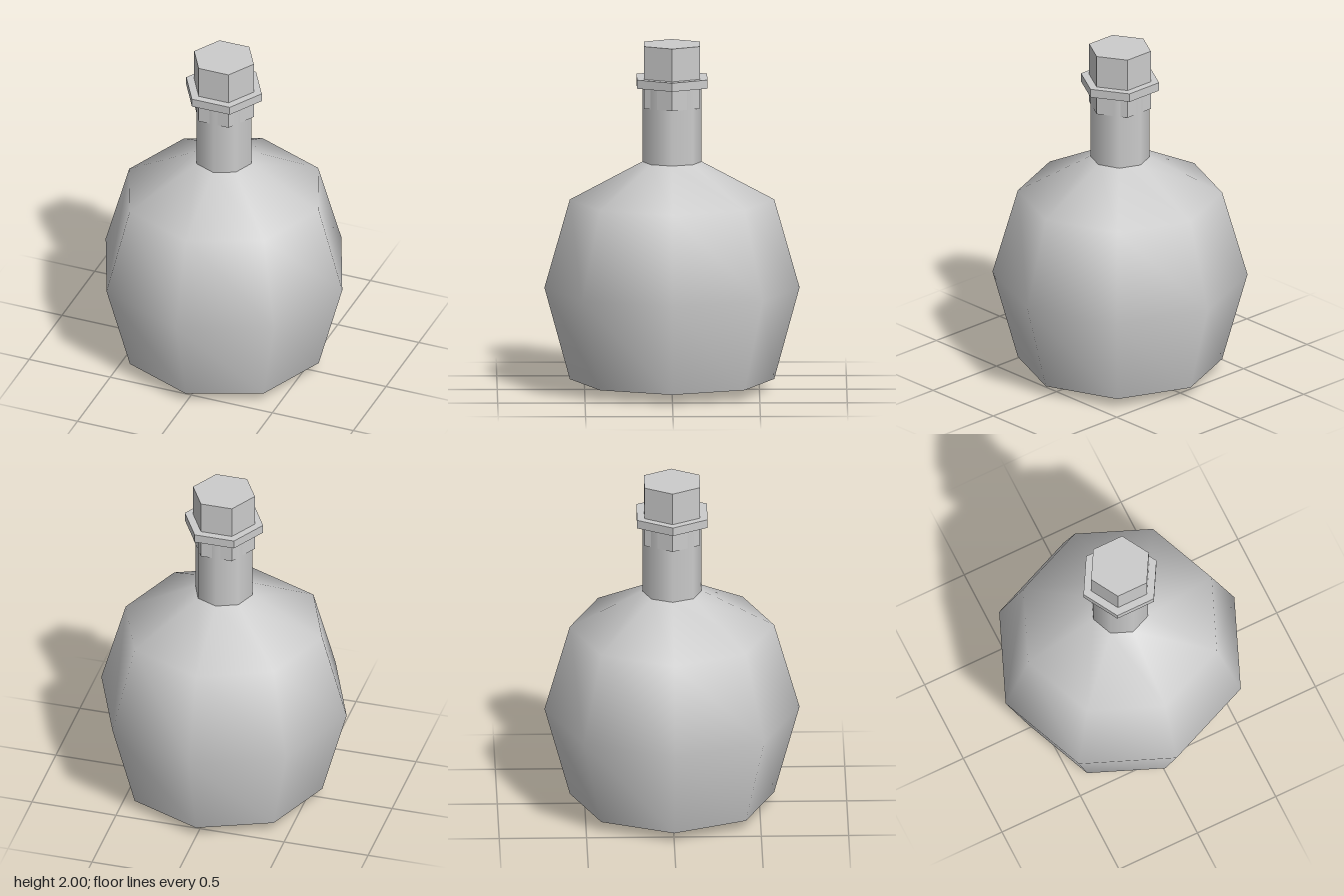
import * as THREE from 'three';

export function createModel() {
  const group = new THREE.Group();
  group.name = 'bottle';
  const smooth = new THREE.MeshStandardMaterial({ color: 0xcccccc });
  const flat = new THREE.MeshStandardMaterial({ color: 0xcccccc, flatShading: true });

  const add = (name, geometry, material) => {
    const mesh = new THREE.Mesh(geometry, material);
    mesh.name = name;
    group.add(mesh);
    return mesh;
  };

  // Eight-sided glass parts, separated where the edge is sharp
  const lathe = (name, profile) =>
    add(name, new THREE.LatheGeometry(profile.map(([r, y]) => new THREE.Vector2(r, y)), 8), smooth);
  lathe('base', [[0, 0], [0.585, 0.06]]);
  lathe('body', [[0.585, 0.06], [0.73, 0.59], [0.585, 1.1], [0.17, 1.32]]);
  lathe('neck', [[0.17, 1.32], [0.17, 1.78]]);

  // Hexagonal stopper with corners pointing along x
  const hexagon = (name, radius, bottom, top) => {
    const mesh = add(name, new THREE.CylinderGeometry(radius, radius, top - bottom, 6), flat);
    mesh.position.y = (bottom + top) / 2;
    mesh.rotation.y = Math.PI / 6;
  };
  hexagon('stopper', 0.184, 1.64, 2);
  hexagon('stopperCollar', 0.233, 1.76, 1.81);

  return group;
}
